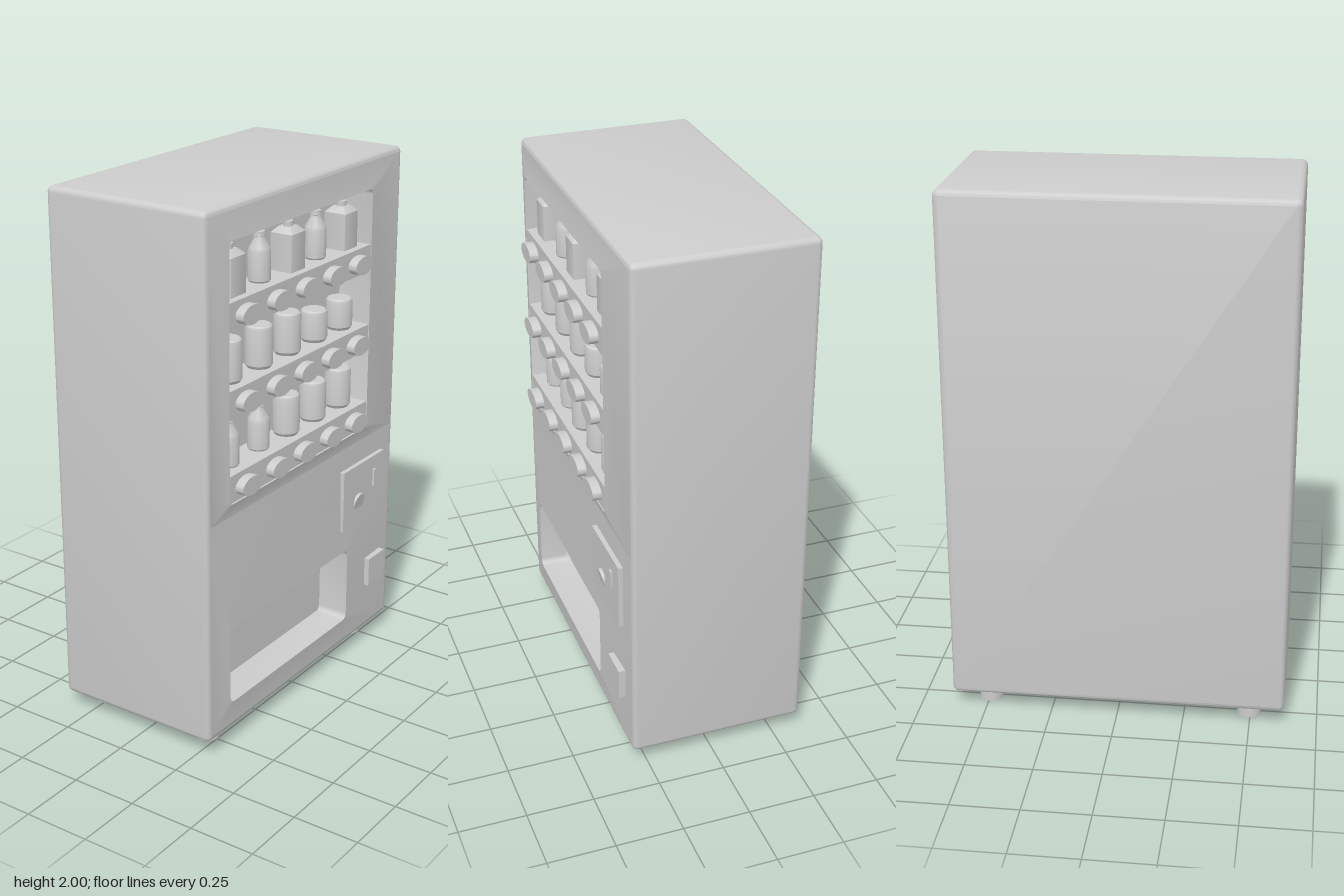
import * as THREE from 'three';
import { toCreasedNormals } from 'three/addons/utils/BufferGeometryUtils.js';

const grey = new THREE.MeshStandardMaterial({ color: 0xcccccc });
grey.name = 'plain grey';

// Built in face coordinates: u to the right, y up, d towards the viewer.
// The cabinet is finally turned so that its face looks along +x.

// Rounded rectangle ring, anticlockwise, always with the same point count
function ring(u0, u1, y0, y1, r, d) {
  const n = 5, points = [];
  const corners = [[u1 - r, y0 + r], [u1 - r, y1 - r], [u0 + r, y1 - r], [u0 + r, y0 + r]];
  corners.forEach(([cu, cy], k) => {
    for (let i = 0; i <= n; i++) {
      const a = (k - 1 + i / n) * Math.PI / 2;
      points.push(new THREE.Vector3(cu + r * Math.cos(a), cy + r * Math.sin(a), d));
    }
  });
  return points;
}

// Skin over a chain of rings, with optional flat ends
function loft(rings, capStart, capEnd) {
  const out = [];
  const tri = (...ps) => ps.forEach(p => out.push(p.x, p.y, p.z));
  for (let k = 0; k < rings.length - 1; k++) {
    const a = rings[k], b = rings[k + 1];
    a.forEach((p, i) => {
      const j = (i + 1) % a.length;
      tri(p, a[j], b[j]);
      tri(p, b[j], b[i]);
    });
  }
  const cap = (pts, flip) => {
    for (let i = 1; i < pts.length - 1; i++) {
      if (flip) tri(pts[0], pts[i + 1], pts[i]);
      else tri(pts[0], pts[i], pts[i + 1]);
    }
  };
  if (capStart) cap(rings[0], true);
  if (capEnd) cap(rings[rings.length - 1], false);
  const g = new THREE.BufferGeometry();
  g.setAttribute('position', new THREE.Float32BufferAttribute(out, 3));
  return toCreasedNormals(g, 0.5);
}

function add(parent, name, geometry, u = 0, y = 0, d = 0) {
  const mesh = new THREE.Mesh(geometry, grey);
  mesh.name = name;
  mesh.position.set(u, y, d);
  parent.add(mesh);
  return mesh;
}

// Box given by its limits
function block(parent, name, u0, u1, y0, y1, d0, d1) {
  return add(parent, name, new THREE.BoxGeometry(u1 - u0, y1 - y0, d1 - d0),
    (u0 + u1) / 2, (y0 + y1) / 2, (d0 + d1) / 2);
}

function lathe(profile) {
  const pts = profile.map(([r, y]) => new THREE.Vector2(r, y));
  return toCreasedNormals(new THREE.LatheGeometry(pts, 24), 0.5);
}

const can = h => lathe([[0, 0], [0.042, 0], [0.05, 0.012], [0.05, h - 0.016],
  [0.047, h - 0.005], [0.041, h], [0, h]]);
const bottle = () => lathe([[0, 0], [0.036, 0], [0.04, 0.006], [0.04, 0.105], [0.036, 0.12],
  [0.019, 0.15], [0.017, 0.158], [0.02, 0.16], [0.02, 0.175], [0, 0.175]]);

// Drink carton: box body, sloped shoulders and a cap
function addCarton(parent, u, y, d) {
  const carton = new THREE.Group();
  carton.name = 'carton';
  carton.position.set(u, y, d);
  const body = loft([
    ring(-0.044, 0.044, -0.044, 0.044, 0.002, 0),
    ring(-0.044, 0.044, -0.044, 0.044, 0.002, 0.135),
    ring(-0.024, 0.024, -0.024, 0.024, 0.002, 0.156)], true, true);
  body.rotateX(-Math.PI / 2);
  add(carton, 'cartonBody', body);
  add(carton, 'cartonCap', new THREE.CylinderGeometry(0.018, 0.018, 0.02, 20), 0, 0.164, 0);
  parent.add(carton);
}

export function createModel() {
  const model = new THREE.Group();
  model.name = 'vendingMachine';
  const cabinet = new THREE.Group();
  cabinet.name = 'cabinet';
  cabinet.rotation.y = Math.PI / 2;
  model.add(cabinet);

  // Outer shell, open at the front, with rounded edges
  const shellRing = (inset, d) =>
    ring(-0.627 + inset, 0.627 - inset, 0.06 + inset, 2 - inset, Math.max(0.002, 0.022 - inset), d);
  const R = 0.02, shell = [];
  for (let i = 0; i <= 4; i++) {
    const a = i / 4 * Math.PI / 2;
    shell.push(shellRing(R * (1 - Math.sin(a)), -0.355 + R * (1 - Math.cos(a))));
  }
  for (let i = 0; i <= 4; i++) {
    const a = i / 4 * Math.PI / 2;
    shell.push(shellRing(R * (1 - Math.cos(a)), 0.285 + R * Math.sin(a)));
  }
  add(cabinet, 'shell', loft(shell, true, false));

  // Upper front: frame sloping up to the display window, then its recess
  const win = [-0.519, 0.388, 0.957, 1.885];
  add(cabinet, 'displayFront', loft([
    ring(-0.607, 0.607, 0.9, 1.98, 0, 0.305),
    ring(...win, 0.02, 0.324),
    ring(...win, 0.02, 0.19)], false, true));

  // Lower front: frame sloping up to the pickup bay, then its recess
  const bay = [-0.508, 0.283, 0.175, 0.475];
  add(cabinet, 'pickupFront', loft([
    ring(-0.607, 0.607, 0.08, 0.9, 0, 0.305),
    ring(...bay, 0.025, 0.318),
    ring(...bay, 0.025, 0.215),
    ring(-0.498, 0.273, 0.185, 0.465, 0.02, 0.2)], false, true));

  // Shelves with drinks and oval selection buttons
  const columns = [-0.424, -0.238, -0.061, 0.116, 0.29];
  const rows = [
    { y: 1.677, items: ['carton', 'bottle', 'carton', 'bottle', 'carton'] },
    { y: 1.369, items: ['can', 'can', 'can', 'shortCan', 'shortCan'] },
    { y: 1.062, items: ['bottle', 'bottle', 'can', 'can', 'can'] },
  ];
  const make = { can: () => can(0.155), shortCan: () => can(0.118), bottle };
  for (const { y, items } of rows) {
    block(cabinet, 'shelf', -0.517, 0.386, y - 0.101, y, 0.185, 0.322);
    items.forEach((item, i) => {
      if (item === 'carton') addCarton(cabinet, columns[i], y, 0.25);
      else add(cabinet, item, make[item](), columns[i], y, 0.25);
      const button = new THREE.CylinderGeometry(1, 1, 0.045, 32);
      button.rotateX(Math.PI / 2);
      button.scale(0.059, 0.034, 1);
      add(cabinet, 'selectionButton', toCreasedNormals(button, 0.6), columns[i], y - 0.054, 0.3325);
    });
  }

  // Payment panel with coin slot and return dial
  block(cabinet, 'paymentPanel', 0.234, 0.53, 0.568, 0.815, 0.3, 0.325);
  block(cabinet, 'coinSlot', 0.447, 0.465, 0.69, 0.76, 0.32, 0.333);
  const dial = new THREE.CylinderGeometry(0.035, 0.035, 0.016, 24);
  dial.rotateX(Math.PI / 2 + 0.2);
  add(cabinet, 'returnDial', dial, 0.345, 0.66, 0.322);

  // Coin return flap
  block(cabinet, 'coinReturn', 0.428, 0.546, 0.262, 0.378, 0.3, 0.333);

  // Feet
  for (const x of [-0.26, 0.205]) for (const z of [-0.495, 0.495]) {
    add(model, 'foot', new THREE.CylinderGeometry(0.045, 0.045, 0.07, 24), x, 0.035, z);
  }
  return model;
}
